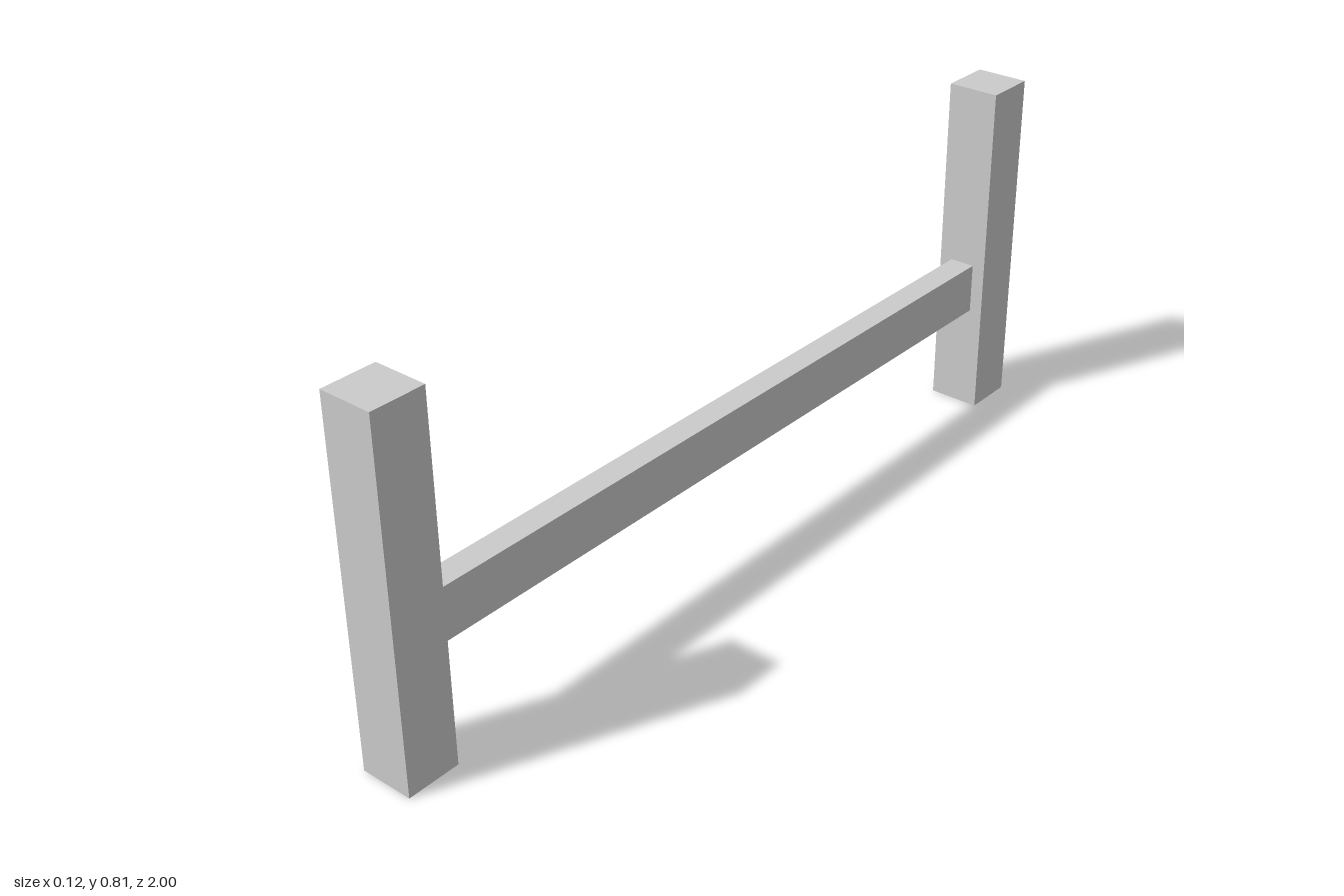
import * as THREE from 'three';

const POST_WIDTH = 0.123;
const POST_HEIGHT = 0.811;
const LENGTH = 2;
const RAIL_WIDTH = 0.06;
const RAIL_BOTTOM = 0.254;
const RAIL_TOP = 0.373;

export function createModel() {
  const model = new THREE.Group();
  model.name = 'postAndRail';
  const material = new THREE.MeshStandardMaterial({ color: 0xcccccc, flatShading: true });

  const addBox = (name, width, height, depth, y, z) => {
    const mesh = new THREE.Mesh(new THREE.BoxGeometry(width, height, depth), material);
    mesh.name = name;
    mesh.position.set(0, y, z);
    model.add(mesh);
  };

  // Square posts at the two ends
  const postZ = (LENGTH - POST_WIDTH) / 2;
  for (const [name, side] of [['frontPost', 1], ['backPost', -1]]) {
    addBox(name, POST_WIDTH, POST_HEIGHT, POST_WIDTH, POST_HEIGHT / 2, side * postZ);
  }

  // Rail spanning between the inner faces of the posts
  addBox('rail', RAIL_WIDTH, RAIL_TOP - RAIL_BOTTOM, LENGTH - 2 * POST_WIDTH,
    (RAIL_TOP + RAIL_BOTTOM) / 2, 0);

  return model;
}
